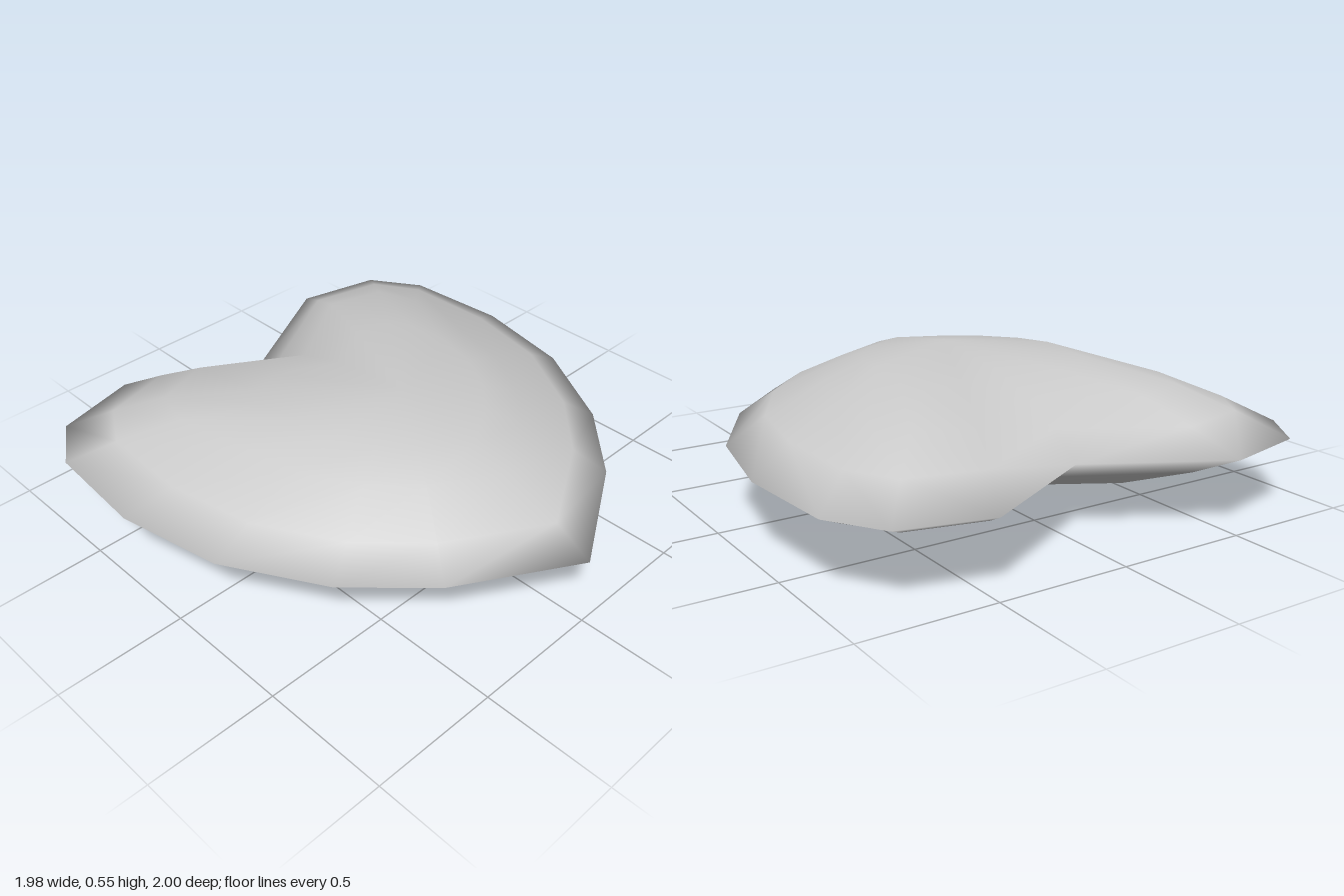
import * as THREE from 'three';

// Right half of the heart outline (x, z), from the notch at the back to the front tip
const half = [
  [0, -0.73], [0.5, -1], [0.83, -0.92], [0.96, -0.72], [0.99, -0.3],
  [0.91, 0.11], [0.7, 0.48], [0.44, 0.74], [0, 1],
];
const outline = [...half, ...half.slice(1, -1).reverse().map(([x, z]) => [-x, z])];

const CENTRE_Z = 0.11;

// Rings from top to bottom: [scale, height] at the back lobes, the sides and the tip
const rings = [
  [[0.42, 0.5], [0.39, 0.525], [0.4, 0.495]],
  [[0.7, 0.445], [0.58, 0.46], [0.57, 0.45]],
  [[0.85, 0.365], [0.83, 0.365], [0.83, 0.36]],
  [[1, 0.275], [1, 0.275], [1, 0.275]],
  [[0.86, 0.2], [0.87, 0.195], [0.84, 0.185]],
  [[0.64, 0.11], [0.61, 0.11], [0.7, 0.105]],
  [[0.405, 0.055], [0.39, 0.055], [0.4, 0.055]],
];

function heartGeometry() {
  const n = outline.length;
  const positions = [0, 0.55, CENTRE_Z];
  const index = [];

  // Each ring is the outline shrunk towards the centre
  for (const [back, side, tip] of rings) {
    for (const [x, z] of outline) {
      const end = z < -0.3 ? back : tip;
      const t = z < -0.3 ? (-0.3 - z) / 0.7 : (z + 0.3) / 1.3;
      const s = THREE.MathUtils.lerp(side[0], end[0], t);
      const y = THREE.MathUtils.lerp(side[1], end[1], t);
      positions.push(x * s, y, CENTRE_Z + (z - CENTRE_Z) * s);
    }
  }
  const bottom = positions.length / 3;
  positions.push(0, 0, CENTRE_Z);

  const at = (r, i) => 1 + r * n + (i % n);
  const last = rings.length - 1;
  for (let i = 0; i < n; i++) {
    index.push(0, at(0, i + 1), at(0, i));
    for (let r = 0; r < last; r++) {
      const a = at(r, i), b = at(r, i + 1), c = at(r + 1, i), d = at(r + 1, i + 1);
      // Diagonals are mirrored between the two halves
      if (i < n / 2) index.push(a, b, c, b, d, c);
      else index.push(a, b, d, a, d, c);
    }
    index.push(at(last, i), at(last, i + 1), bottom);
  }

  const geometry = new THREE.BufferGeometry();
  geometry.setAttribute('position', new THREE.Float32BufferAttribute(positions, 3));
  geometry.setIndex(index);
  geometry.computeVertexNormals();
  return geometry;
}

export function createModel() {
  const model = new THREE.Group();
  model.name = 'heart';
  const body = new THREE.Mesh(
    heartGeometry(),
    new THREE.MeshStandardMaterial({ color: 0xcccccc })
  );
  body.name = 'heartBody';
  model.add(body);
  return model;
}
